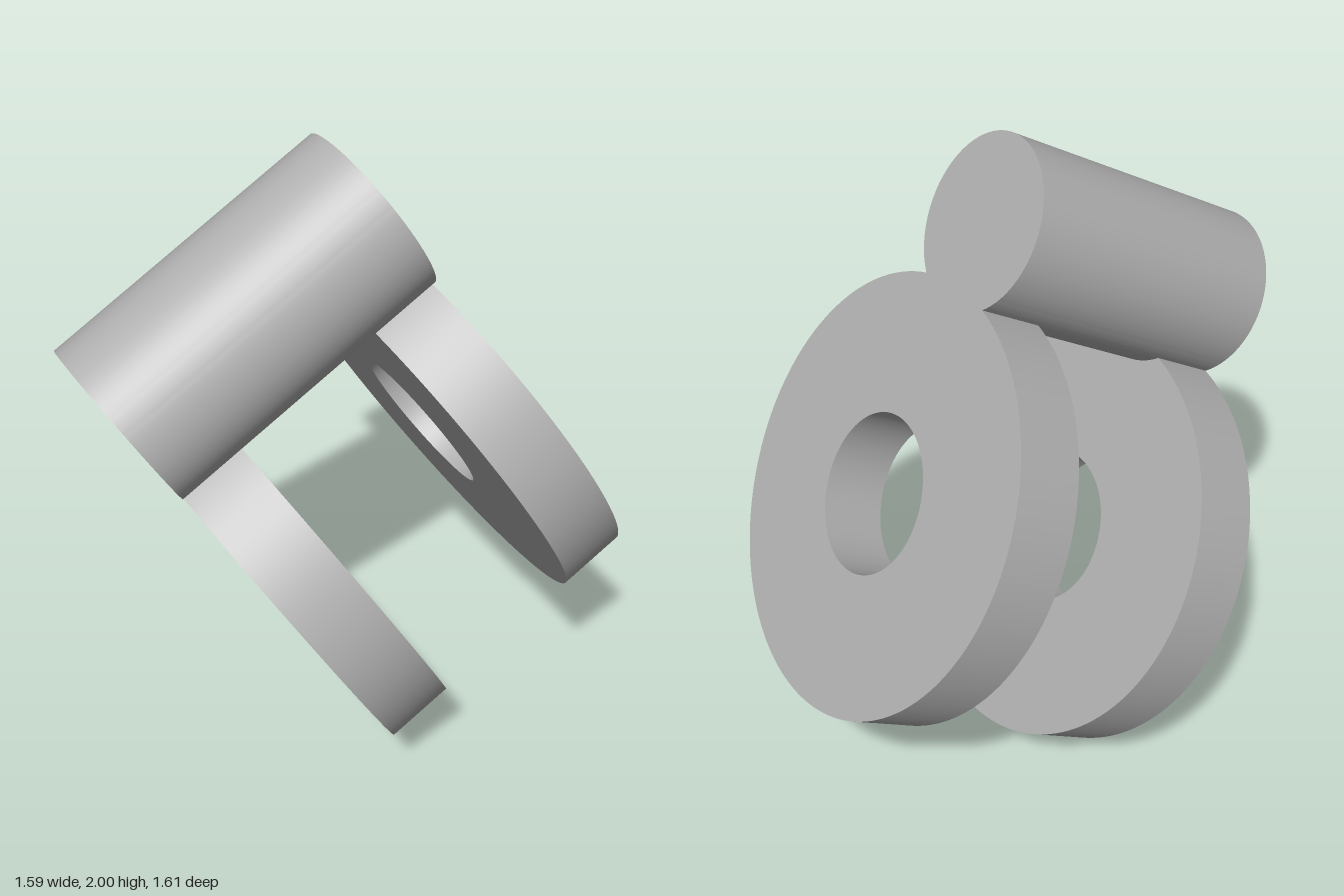
import * as THREE from 'three';
import { toCreasedNormals } from 'three/addons/utils/BufferGeometryUtils.js';

const LENGTH = 0.908; // overall span along the shared axis
const THICK = 0.21;

// Round plate extruded along +z, with an optional centre hole
function roundPlate(radius, depth, hole = 0) {
  const shape = new THREE.Shape().absarc(0, 0, radius, 0, Math.PI * 2, false);
  if (hole) shape.holes.push(new THREE.Path().absarc(0, 0, hole, 0, Math.PI * 2, true));
  const geo = new THREE.ExtrudeGeometry(shape, { depth, bevelEnabled: false, curveSegments: 72 });
  return toCreasedNormals(geo, 0.5);
}

export function createModel() {
  const model = new THREE.Group();
  model.name = 'clevis';
  const grey = new THREE.MeshStandardMaterial({ color: 0xb0b0b0 });
  grey.name = 'grey';

  const body = new THREE.Group();
  body.name = 'tiltedBody';
  model.add(body);

  const add = (name, geo, y, z) => {
    const mesh = new THREE.Mesh(geo, grey);
    mesh.name = name;
    mesh.position.set(0, y, z);
    body.add(mesh);
  };

  // Two parallel pierced discs
  const disc = roundPlate(0.667, THICK, 0.243);
  add('frontDisc', disc, 0, 0);
  add('backDisc', disc, 0, LENGTH - THICK);

  // Solid bar joining the disc rims, flush with their outer faces
  add('bar', roundPlate(0.264, LENGTH, 0), 0.861, 0);

  // Tilt: local z is the disc axis, local y points from disc centre to bar
  const axis = new THREE.Vector3(0.694, 0.496, -0.522).normalize();
  const right = new THREE.Vector3(-0.28, 0.739, 0.343).cross(axis).normalize();
  const up = axis.clone().cross(right);
  body.quaternion.setFromRotationMatrix(new THREE.Matrix4().makeBasis(right, up, axis));
  body.position.set(-0.318, 0.579, 0.233);
  return model;
}
